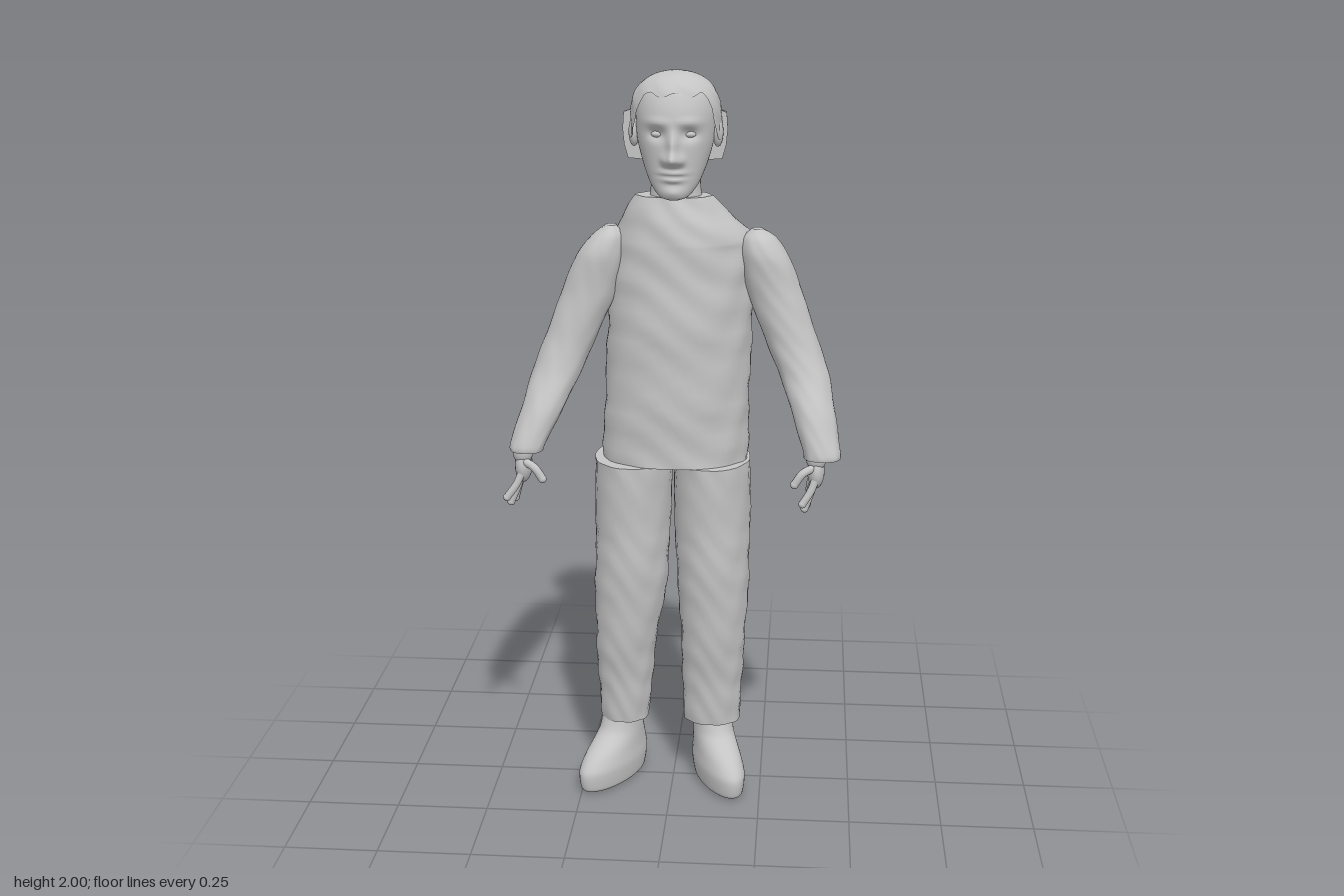
import * as THREE from 'three';

const skinGrey = new THREE.MeshStandardMaterial({ color: 0xc4c4c4, side: THREE.DoubleSide });
skinGrey.name = 'plain grey';

const bump = (x, y, cx, cy, sx, sy) => Math.exp(-(((x - cx) / sx) ** 2) - ((y - cy) / sy) ** 2);

// Closed-around surface: point(i, angle) for i = 0..rows, with optional flat ends
function surface(rows, segs, point, caps) {
  const pos = [], idx = [];
  for (let i = 0; i <= rows; i++)
    for (let j = 0; j < segs; j++) pos.push(...point(i, (j / segs) * Math.PI * 2));
  for (let i = 0; i < rows; i++)
    for (let j = 0; j < segs; j++) {
      const k = (j + 1) % segs, a = i * segs + j, b = i * segs + k;
      idx.push(a, b, a + segs, b, b + segs, a + segs);
    }
  if (caps) for (const row of [0, rows]) {
    const start = pos.length / 3, mid = [0, 0, 0];
    for (let j = 0; j < segs; j++) {
      const p = pos.slice((row * segs + j) * 3, (row * segs + j) * 3 + 3);
      pos.push(...p);
      p.forEach((v, n) => { mid[n] += v / segs; });
    }
    pos.push(...mid);
    for (let j = 0; j < segs; j++) {
      const a = start + j, b = start + ((j + 1) % segs);
      idx.push(start + segs, row ? a : b, row ? b : a);
    }
  }
  const g = new THREE.BufferGeometry();
  g.setAttribute('position', new THREE.Float32BufferAttribute(pos, 3));
  g.setIndex(idx);
  g.computeVertexNormals();
  return g;
}

// Smooth blend through sections [y, centreX, centreZ, radiusX, radiusZ], bottom to top
function loft(sections, { steps = 6, segs = 40, wrinkle = 0, shape } = {}) {
  const at = (i) => sections[Math.max(0, Math.min(sections.length - 1, i))];
  const rows = (sections.length - 1) * steps;
  return surface(rows, segs, (i, a) => {
    const s = Math.min(Math.floor(i / steps), sections.length - 2), t = i / steps - s;
    const [y, cx, cz, rx, rz] = at(s).map((p1, n) => {
      const p0 = at(s - 1)[n], p2 = at(s + 1)[n], p3 = at(s + 2)[n];
      const m1 = (p2 - p0) * 0.4, m2 = (p3 - p1) * 0.4;
      return p1 + m1 * t + (3 * (p2 - p1) - 2 * m1 - m2) * t * t + (2 * (p1 - p2) + m1 + m2) * t ** 3;
    });
    const w = wrinkle * Math.sin(y * 47 + 2 * Math.sin(a * 3)) * Math.sin(a * 5 + y * 19);
    const p = [cx + (rx + w) * Math.sin(a), y, cz + (rz + w) * Math.cos(a)];
    return shape ? shape(p, a) : p;
  }, true);
}

export function createModel() {
  const model = new THREE.Group();
  model.name = 'standingFigure';
  const add = (name, geometry, parent = model) => {
    const mesh = new THREE.Mesh(geometry, skinGrey);
    mesh.name = name;
    parent.add(mesh);
    return mesh;
  };
  const ball = (name, p, s, parent) => {
    const mesh = add(name, new THREE.SphereGeometry(1, 20, 14), parent);
    mesh.position.set(...p);
    mesh.scale.set(...s);
    return mesh;
  };

  // Shirt, widest across the back of the shoulders
  add('torso', loft([
    [0.96, 0.005, -0.01, 0.198, 0.138], [1.1, 0.008, -0.015, 0.196, 0.145],
    [1.3, 0.015, -0.025, 0.194, 0.156], [1.45, 0.02, -0.034, 0.194, 0.159],
    [1.54, 0.025, -0.043, 0.192, 0.161], [1.565, 0.025, -0.04, 0.186, 0.156],
    [1.62, 0.012, -0.008, 0.147, 0.115], [1.68, 0.003, 0.025, 0.098, 0.065],
  ], { wrinkle: 0.004, segs: 56 }));

  // Trouser legs
  add('leftLeg', loft([
    [0.185, 0.11, 0, 0.08, 0.062], [0.3, 0.11, 0.007, 0.083, 0.07],
    [0.42, 0.112, 0.014, 0.088, 0.083], [0.6, 0.112, 0.015, 0.098, 0.104],
    [0.75, 0.108, 0.002, 0.104, 0.124], [0.96, 0.106, -0.005, 0.105, 0.138],
  ], { wrinkle: 0.003 }));
  add('rightLeg', loft([
    [0.185, -0.138, 0, 0.068, 0.062], [0.3, -0.135, 0.007, 0.076, 0.07],
    [0.42, -0.132, 0.014, 0.084, 0.083], [0.6, -0.117, 0.015, 0.1, 0.104],
    [0.75, -0.112, 0.002, 0.103, 0.124], [0.96, -0.108, -0.005, 0.107, 0.138],
  ], { wrinkle: 0.003 }));

  // Shoes with toes turned out
  for (const [name, x, yaw] of [['leftFoot', 0.115, 0.42], ['rightFoot', -0.15, -0.55]]) {
    const foot = add(name, loft([
      [0, 0, 0.04, 0.043, 0.11], [0.012, 0, 0.04, 0.054, 0.131], [0.06, 0, 0.037, 0.06, 0.138],
      [0.1, 0, 0.024, 0.057, 0.118], [0.15, 0, -0.002, 0.055, 0.074], [0.2, 0, -0.005, 0.055, 0.055],
    ]));
    foot.position.x = x;
    foot.rotation.y = yaw;
  }

  // Sleeves, bent forward at the elbow
  add('leftArm', loft([
    [1.01, 0.403, 0.152, 0.047, 0.044], [1.03, 0.401, 0.147, 0.049, 0.047],
    [1.12, 0.378, 0.098, 0.058, 0.063], [1.21, 0.352, 0.05, 0.066, 0.066],
    [1.3, 0.316, 0.028, 0.07, 0.064], [1.42, 0.272, 0.02, 0.073, 0.063],
    [1.52, 0.243, 0.023, 0.063, 0.062], [1.57, 0.228, 0.018, 0.043, 0.05],
    [1.592, 0.222, 0.015, 0.014, 0.02],
  ], { wrinkle: 0.0015 }));
  add('rightArm', loft([
    [1.015, -0.38, 0.152, 0.043, 0.042], [1.035, -0.376, 0.147, 0.047, 0.046],
    [1.12, -0.342, 0.098, 0.057, 0.063], [1.21, -0.308, 0.05, 0.066, 0.066],
    [1.3, -0.272, 0.028, 0.069, 0.064], [1.42, -0.223, 0.02, 0.073, 0.063],
    [1.52, -0.192, 0.023, 0.062, 0.062], [1.57, -0.172, 0.018, 0.042, 0.05],
    [1.598, -0.163, 0.015, 0.014, 0.02],
  ], { wrinkle: 0.0015 }));

  // Hands: palm, four spread fingers and a thumb
  const finger = (name, points, r, parent) => {
    const path = new THREE.CatmullRomCurve3(points.map((p) => new THREE.Vector3(...p)));
    add(name, new THREE.TubeGeometry(path, 10, r, 10), parent);
    ball(name + 'Tip', points[points.length - 1], [r, r, r], parent);
  };
  for (const [name, side, x, reach] of [['leftHand', 1, 0.388, -0.028], ['rightHand', -1, -0.39, -0.035]]) {
    const hand = new THREE.Group();
    hand.name = name;
    model.add(hand);
    ball('wrist', [x, 1.01, 0.152], [0.027, 0.035, 0.029], hand);
    ball('palm', [x, 0.972, 0.143], [0.023, 0.048, 0.041], hand);
    [[0.17, 0.18, 0.89], [0.15, 0.15, 0.868], [0.13, 0.115, 0.868], [0.115, 0.085, 0.9]].forEach(([z0, z1, y], n) => {
      const tip = x + reach + 0.006 * (n - 1);
      finger('finger', [[x, 0.96, z0], [x + reach * 0.45, (0.94 + y) / 2 + 0.01, (z0 + z1) / 2], [tip, y, z1]], 0.0105, hand);
    });
    finger('thumb', [[x, 0.99, 0.165], [x - side * 0.035, 0.975, 0.183], [x - side * 0.056, 0.945, 0.185]], 0.011, hand);
  }

  // Neck
  add('neck', loft([[1.66, 0.008, 0.018, 0.072, 0.066], [1.71, 0.008, 0.018, 0.065, 0.064], [1.82, 0.01, 0.02, 0.068, 0.07]]));

  // Head with brow, eye sockets, nose, lips and chin pushed in or out of the face
  add('head', loft([
    [1.682, 0.01, 0.122, 0.015, 0.018], [1.69, 0.01, 0.112, 0.038, 0.036], [1.72, 0.01, 0.087, 0.062, 0.062],
    [1.77, 0.01, 0.06, 0.083, 0.091], [1.83, 0.01, 0.046, 0.099, 0.106], [1.9, 0.01, 0.042, 0.103, 0.11],
    [1.95, 0.01, 0.04, 0.092, 0.092], [1.98, 0.01, 0.04, 0.055, 0.055],
  ], {
    steps: 12, segs: 96,
    shape: ([x, y, z], a) => {
      if (Math.cos(a) > 0.2) {
        const u = Math.abs(x - 0.01);
        z += 0.045 * bump(u, y, 0, 1.787, 0.017, 0.016) + 0.025 * bump(u, y, 0, 1.82, 0.013, 0.032)
          + 0.014 * bump(u, y, 0.02, 1.783, 0.01, 0.011) - 0.015 * bump(u, y, 0.042, 1.848, 0.022, 0.015)
          + 0.007 * bump(u, y, 0.04, 1.878, 0.035, 0.012) + 0.012 * bump(u, y, 0, 1.752, 0.028, 0.007)
          + 0.011 * bump(u, y, 0, 1.735, 0.024, 0.007) - 0.006 * bump(u, y, 0, 1.744, 0.03, 0.003)
          + 0.008 * bump(u, y, 0, 1.703, 0.028, 0.014);
      }
      return [x, y, z];
    },
  }));
  for (const s of [-1, 1]) {
    ball('eye', [0.01 + s * 0.041, 1.848, 0.124], [0.016, 0.009, 0.014]);
    ball('ear', [0.01 + s * 0.108, 1.845, 0.045], [0.014, 0.038, 0.023]);
  }

  // Hair cap with a raised, slightly ragged hairline over the forehead
  const rows = 24;
  add('hair', surface(rows, 72, (i, a) => {
    const hem = 1.825 + 0.12 * THREE.MathUtils.smoothstep(Math.cos(a), 0.25, 0.75) + 0.006 * Math.sin(a * 9 + 1);
    const y = hem + (2 - hem) * Math.sin((i / rows) * Math.PI / 2);
    const k = y < 1.88 ? 1 : Math.max(0, 1 - ((y - 1.88) / 0.12) ** 2.6) ** 0.455;
    const r = k * (1 + 0.018 * Math.sin(a * 7 + y * 40) * Math.sin(y * 75 + a * 2));
    return [0.01 + 0.117 * r * Math.sin(a), y, 0.04 + 0.109 * r * Math.cos(a)];
  }));

  // Thick half ring of hair around the back of the head
  const profile = [[0.085, 1.772], [0.122, 1.775], [0.132, 1.81], [0.136, 1.85], [0.133, 1.893], [0.1, 1.905]];
  const band = add('backHair', new THREE.LatheGeometry(
    profile.map(([r, y]) => new THREE.Vector2(r, y)), 40, Math.PI / 2, Math.PI));
  band.position.set(0.007, 0, 0.033);
  const endShape = new THREE.Shape(profile.map(([r, y]) => new THREE.Vector2(r, y)));
  for (const s of [0, 1]) {
    const end = add('backHairEnd', new THREE.ShapeGeometry(endShape), band);
    end.rotation.y = s * Math.PI;
  }

  return model;
}
